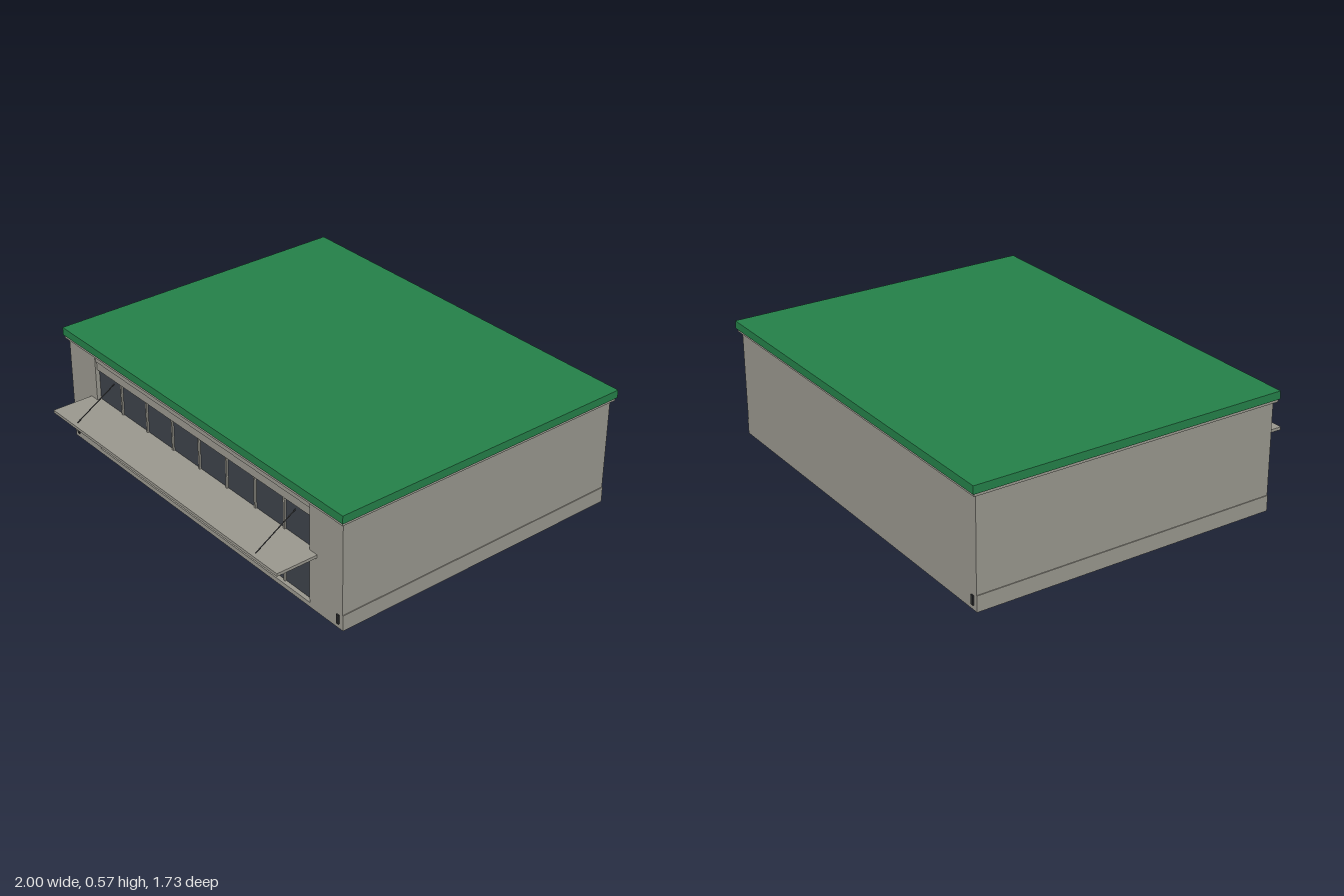
import * as THREE from 'three';

const paint = (name, color) => {
  const m = new THREE.MeshStandardMaterial({ color });
  m.name = name;
  return m;
};

export function createModel() {
  const model = new THREE.Group();
  const wall = paint('warm grey wall', 0x98968d);
  const green = paint('green roof', 0x247f48);
  const glass = paint('dark glass', 0x3c4149);
  const dark = paint('dark metal', 0x2c2d2f);

  // Box given by its lower and upper limits on each axis
  const box = (name, mat, x0, x1, y0, y1, z0, z1) => {
    const mesh = new THREE.Mesh(new THREE.BoxGeometry(x1 - x0, y1 - y0, z1 - z0), mat);
    mesh.position.set((x0 + x1) / 2, (y0 + y1) / 2, (z0 + z1) / 2);
    mesh.name = name;
    model.add(mesh);
    return mesh;
  };

  // Hall, with the shop front set back between two piers
  box('hall', wall, -0.98, 0.98, 0, 0.52, -0.842, 0.635);
  box('lintelUpper', wall, -0.772, 0.772, 0.482, 0.52, 0.635, 0.656);
  box('lintelLower', wall, -0.772, 0.772, 0.44, 0.482, 0.635, 0.651);
  box('sill', wall, -0.772, 0.772, 0, 0.022, 0.635, 0.66);
  for (const s of [-1, 1]) {
    const span = (a, b) => (s > 0 ? [a, b] : [-b, -a]);
    box('pier', wall, ...span(0.772, 0.98), 0, 0.52, 0.635, 0.66);
    box('sidePlinth', wall, ...span(0.98, 0.984), 0, 0.075, -0.842, 0.66);
    box('wallFitting', dark, ...span(0.946, 0.961), 0.022, 0.067, 0.66, 0.666);
  }
  box('backFitting', dark, -0.961, -0.946, 0.022, 0.067, -0.848, -0.842);

  // Roof slab with its lower trim
  box('roofTrim', wall, -0.994, 0.994, 0.52, 0.536, -0.858, 0.675);
  box('roof', green, -1, 1, 0.534, 0.572, -0.865, 0.68);

  // Glazing and its frame
  box('glazing', glass, -0.772, 0.772, 0.022, 0.44, 0.635, 0.639);
  for (let i = -3; i <= 3; i++) {
    const x = i * 0.196;
    box('upperMullion', wall, x - 0.005, x + 0.005, 0.22, 0.44, 0.637, 0.647);
    if (i % 2 !== 0 && Math.abs(i) === 3 || i === 0) {
      box('lowerMullion', wall, x - 0.005, x + 0.005, 0.022, 0.212, 0.637, 0.647);
    }
  }
  box('transom', wall, -0.772, 0.772, 0.21, 0.222, 0.637, 0.648);

  // Double doors
  for (const x of [-0.303, 0.303]) {
    box('doorFrame', wall, x - 0.114, x + 0.114, 0.2, 0.212, 0.637, 0.65);
    for (const s of [-1, 1]) {
      const c = x + s * 0.057;
      box('doorLeaf', wall, c - 0.0563, c + 0.0563, 0.022, 0.2, 0.637, 0.644);
    }
  }

  // Canopy with lamps beneath and tie rods above
  box('canopy', wall, -0.82, 0.82, 0.27, 0.284, 0.639, 0.865);
  for (const x of [-0.45, 0, 0.45]) {
    box('canopyLamp', dark, x - 0.045, x + 0.045, 0.265, 0.27, 0.763, 0.775);
  }
  for (const x of [-0.655, 0.655]) {
    const path = new THREE.LineCurve3(
      new THREE.Vector3(x, 0.284, 0.845), new THREE.Vector3(x, 0.41, 0.638));
    const rod = new THREE.Mesh(new THREE.TubeGeometry(path, 1, 0.0025, 6), dark);
    rod.name = 'tieRod';
    model.add(rod);
  }
  return model;
}
